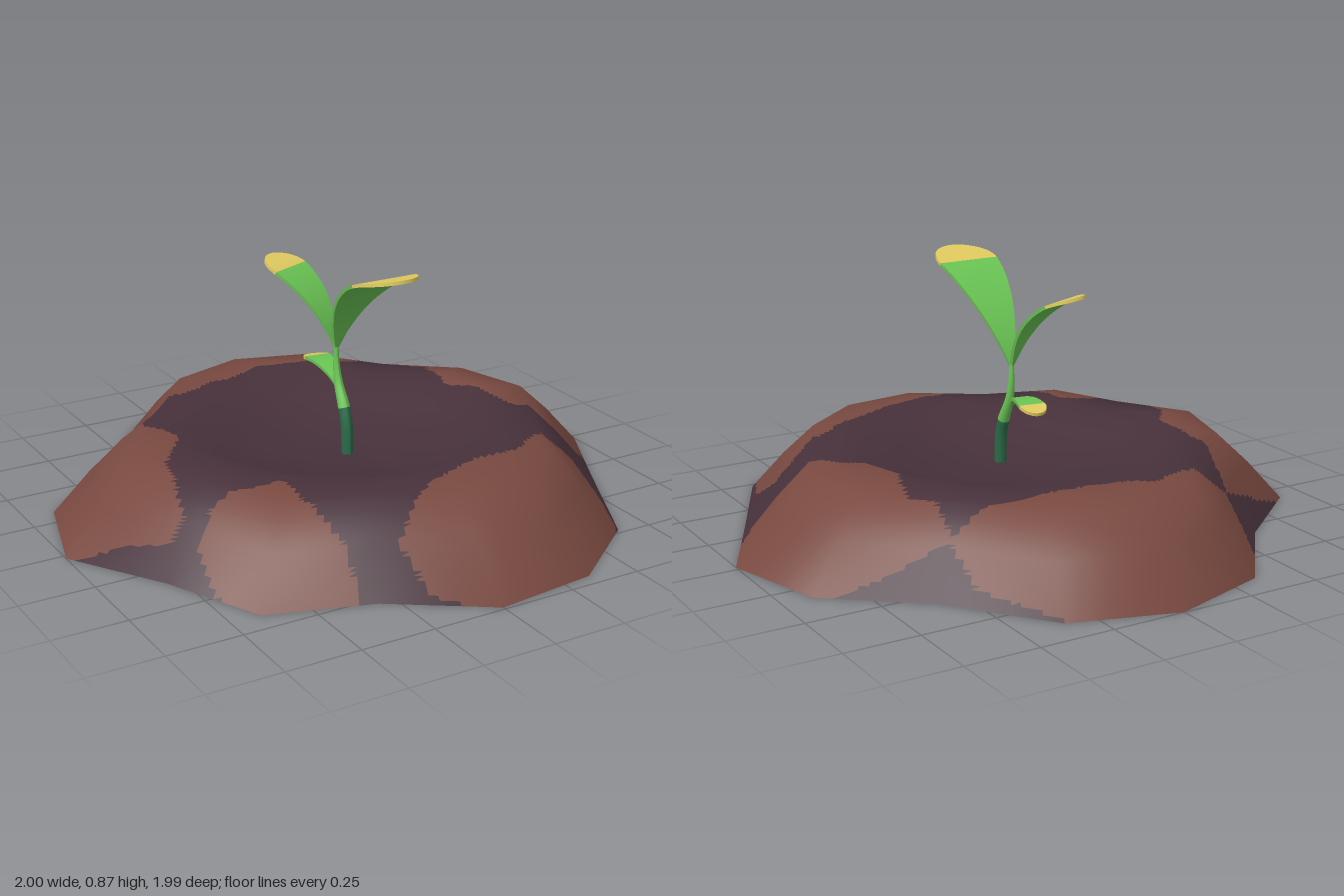
import * as THREE from 'three';

const mat = (name, color) => Object.assign(new THREE.MeshStandardMaterial({ color }), { name });

// Ground outline of the mound as [x, z], clockwise from the back
const OUTLINE = [
  [0, -1], [0.35, -0.89], [0.6, -0.57], [0.9, -0.33], [1, 0.02], [0.83, 0.35], [0.64, 0.73], [0.35, 0.95],
  [0, 0.99], [-0.31, 0.78], [-0.65, 0.67], [-0.8, 0.34], [-1, 0.02], [-0.9, -0.33], [-0.6, -0.57], [-0.35, -0.89],
];
// Height of the crater rim at each outline point
const RIM = [0.28, 0.28, 0.255, 0.28, 0.28, 0.25, 0.265, 0.28, 0.28, 0.25, 0.28, 0.25, 0.28, 0.28, 0.25, 0.25];
// Rings of the mound as [scale, height]; null takes the rim height
const RINGS = [[1, 0], [0.87, 0.14], [0.75, 0.25], [0.56, null], [0.42, 0.21], [0.2, 0.175], [0, 0.17]];

// Brown clay patches in plan, [x, z]
const PATCHES = [
  [[-0.53, -0.5], [-0.47, -0.75], [-0.36, -0.88], [-0.35, -1], [0, -1.1], [0.35, -1], [0.35, -0.88], [0.5, -0.64],
    [0.51, -0.49], [0.43, -0.49], [0.27, -0.53], [0.13, -0.55], [0, -0.57], [-0.13, -0.55], [-0.19, -0.57], [-0.3, -0.53]],
  [[-0.54, -0.49], [-0.57, -0.33], [-0.54, -0.1], [-0.65, 0.04], [-0.7, 0.26], [-0.76, 0.27], [-0.85, 0.16],
    [-0.97, 0.06], [-1.1, 0], [-0.95, -0.36], [-0.88, -0.35], [-0.7, -0.43]],
  [[0.5, -0.38], [0.56, -0.32], [0.5, -0.1], [0.58, 0.03], [0.62, 0.17], [0.75, 0.2], [0.85, 0.23], [0.95, 0.17],
    [1.1, 0.15], [1.1, -0.1], [0.95, -0.38], [0.88, -0.36], [0.68, -0.44], [0.5, -0.49]],
  [[-0.7, 0.36], [-0.63, 0.31], [-0.41, 0.36], [-0.41, 0.5], [-0.35, 0.64], [-0.36, 0.85], [-0.64, 0.75], [-0.72, 0.5]],
  [[-0.2, 0.72], [-0.02, 0.61], [0.2, 0.54], [0.4, 0.5], [0.5, 0.42], [0.69, 0.4], [0.7, 0.55], [0.62, 0.75],
    [0.6, 1], [0, 1.1], [-0.04, 0.98], [-0.17, 0.85]],
];

function inside(poly, x, z) {
  let hit = false;
  for (let i = 0, j = poly.length - 1; i < poly.length; j = i++) {
    const [xi, zi] = poly[i], [xj, zj] = poly[j];
    if ((zi > z) !== (zj > z) && x < ((xj - xi) * (z - zi)) / (zj - zi) + xi) hit = !hit;
  }
  return hit;
}

// Mound: a coarse smooth-shaded form, subdivided so the patch borders can curve
function moundGeometry() {
  const n = OUTLINE.length, rows = RINGS.length, sub = 12;
  const pos = [], idx = [];
  for (const [k, h] of RINGS) OUTLINE.forEach(([x, z], s) => pos.push(x * k, h ?? RIM[s], z * k));
  for (let r = 0; r < rows - 1; r++)
    for (let s = 0; s < n; s++) {
      const a = r * n + s, b = r * n + (s + 1) % n;
      idx.push(a, a + n, b, b, a + n, b + n);
    }
  const coarse = new THREE.BufferGeometry();
  coarse.setAttribute('position', new THREE.Float32BufferAttribute(pos, 3));
  coarse.setIndex(idx);
  coarse.computeVertexNormals();

  const sample = (attr, i, j) => {
    const r = Math.min(Math.floor(j / sub), rows - 2), s = Math.floor(i / sub);
    const u = i / sub - s, v = j / sub - r;
    const at = (rr, ss) => new THREE.Vector3().fromBufferAttribute(attr, rr * n + ss % n);
    return at(r, s).lerp(at(r, s + 1), u).lerp(at(r + 1, s).lerp(at(r + 1, s + 1), u), v);
  };
  const P = [], N = [], soil = [], clay = [];
  const w = n * sub + 1, h = (rows - 1) * sub + 1;
  for (let j = 0; j < h; j++)
    for (let i = 0; i < w; i++) {
      P.push(...sample(coarse.attributes.position, i, j).toArray());
      N.push(...sample(coarse.attributes.normal, i, j).normalize().toArray());
    }
  for (let j = 0; j < h - 1; j++)
    for (let i = 0; i < w - 1; i++) {
      const a = j * w + i;
      for (const t of [[a, a + w, a + 1], [a + 1, a + w, a + w + 1]]) {
        const x = t.reduce((m, q) => m + P[q * 3] / 3, 0), z = t.reduce((m, q) => m + P[q * 3 + 2] / 3, 0);
        (PATCHES.some((p) => inside(p, x, z)) ? clay : soil).push(...t);
      }
    }
  const g = new THREE.BufferGeometry();
  g.setAttribute('position', new THREE.Float32BufferAttribute(P, 3));
  g.setAttribute('normal', new THREE.Float32BufferAttribute(N, 3));
  g.setIndex([...soil, ...clay]);
  g.addGroup(0, soil.length, 0);
  g.addGroup(soil.length, clay.length, 1);
  return g;
}

// Stretch of the stem between two fractions of its curve, tapering upwards
function stemGeometry(curve, t0, t1) {
  const g = new THREE.CylinderGeometry(1, 1, 1, 10, 8, false), p = g.attributes.position;
  for (let i = 0; i < p.count; i++) {
    const t = t0 + (t1 - t0) * (p.getY(i) + 0.5);
    const c = curve.getPointAt(t), d = curve.getTangentAt(t);
    const r = t < 0.45 ? 0.021 : THREE.MathUtils.lerp(0.021, 0.007, (t - 0.45) / 0.55);
    const x = p.getX(i) * r, z = p.getZ(i) * r;
    p.setXYZ(i, c.x + x, c.y - d.z * z, c.z + d.y * z);
  }
  g.computeVertexNormals();
  return g;
}

const SHOULDER = 0.77; // fraction of a leaf where it is widest and its tip colour begins

// Thin slab bent along a curve and shaped to the leaf outline
function leafGeometry(curve, halfWidth, isTip) {
  const g = new THREE.BoxGeometry(2, 1, 1, 4, 1, 14), p = g.attributes.position;
  for (let i = 0; i < p.count; i++) {
    const u = p.getZ(i) + 0.5, a = (u * Math.PI) / 2;
    const t = isTip ? SHOULDER + (1 - SHOULDER) * Math.sin(a) : SHOULDER * u;
    const w = halfWidth * (isTip ? Math.max(Math.cos(a), 0.02) : 0.05 + 0.95 * (u + Math.sin(a)) / 2);
    const c = curve.getPointAt(Math.min(t, 1)), d = curve.getTangentAt(Math.min(t, 1));
    const y = p.getY(i) * 0.011;
    p.setXYZ(i, p.getX(i) * w, c.y + d.z * y, c.z - d.y * y);
  }
  g.computeVertexNormals();
  return g;
}

export function createModel() {
  const soil = mat('dark soil', 0x47313b), clay = mat('brown clay', 0x784940);
  const green = mat('leaf green', 0x6ac454), yellow = mat('leaf tip yellow', 0xe0ca60);
  const darkGreen = mat('stem base green', 0x2a6a48);
  const model = new THREE.Group();
  model.name = 'sprout';
  const add = (parent, name, geometry, material) => {
    const m = new THREE.Mesh(geometry, material);
    m.name = name;
    parent.add(m);
  };

  // Ground
  add(model, 'mound', moundGeometry(), [soil, clay]);
  const base = new THREE.ShapeGeometry(new THREE.Shape(OUTLINE.map(([x, z]) => new THREE.Vector2(x, z))));
  add(model, 'moundBase', base.rotateX(Math.PI / 2), soil);

  // Stem
  const path = (points) => new THREE.CatmullRomCurve3(points.map(([z, y]) => new THREE.Vector3(0, y, z)));
  const stem = path([[0.075, 0.15], [0.068, 0.27], [0.05, 0.33], [0.015, 0.4], [0, 0.47], [0, 0.535]]);
  add(model, 'stemBase', stemGeometry(stem, 0, 0.45), darkGreen);
  add(model, 'stem', stemGeometry(stem, 0.45, 1), green);

  // Leaves: [name, heading x, heading z, half width, profile of [distance out, height]]
  const leaves = [
    ['frontLeaf', 0, 1, 0.11, [[0, 0.525], [0.03, 0.6], [0.1, 0.7], [0.2, 0.785], [0.3, 0.835], [0.41, 0.86]]],
    ['backLeaf', -0.4, -0.92, 0.08, [[0, 0.525], [0.04, 0.62], [0.1, 0.7], [0.19, 0.765], [0.28, 0.795]]],
    ['smallLeaf', 0.15, -1, 0.045, [[-0.01, 0.385], [0.04, 0.42], [0.11, 0.437], [0.17, 0.435], [0.235, 0.42]]],
  ];
  for (const [name, hx, hz, halfWidth, profile] of leaves) {
    const leaf = new THREE.Group();
    leaf.name = name;
    leaf.rotation.y = Math.atan2(hx, hz);
    const curve = path(profile);
    add(leaf, name + 'Blade', leafGeometry(curve, halfWidth, false), green);
    add(leaf, name + 'Tip', leafGeometry(curve, halfWidth, true), yellow);
    model.add(leaf);
  }
  return model;
}
